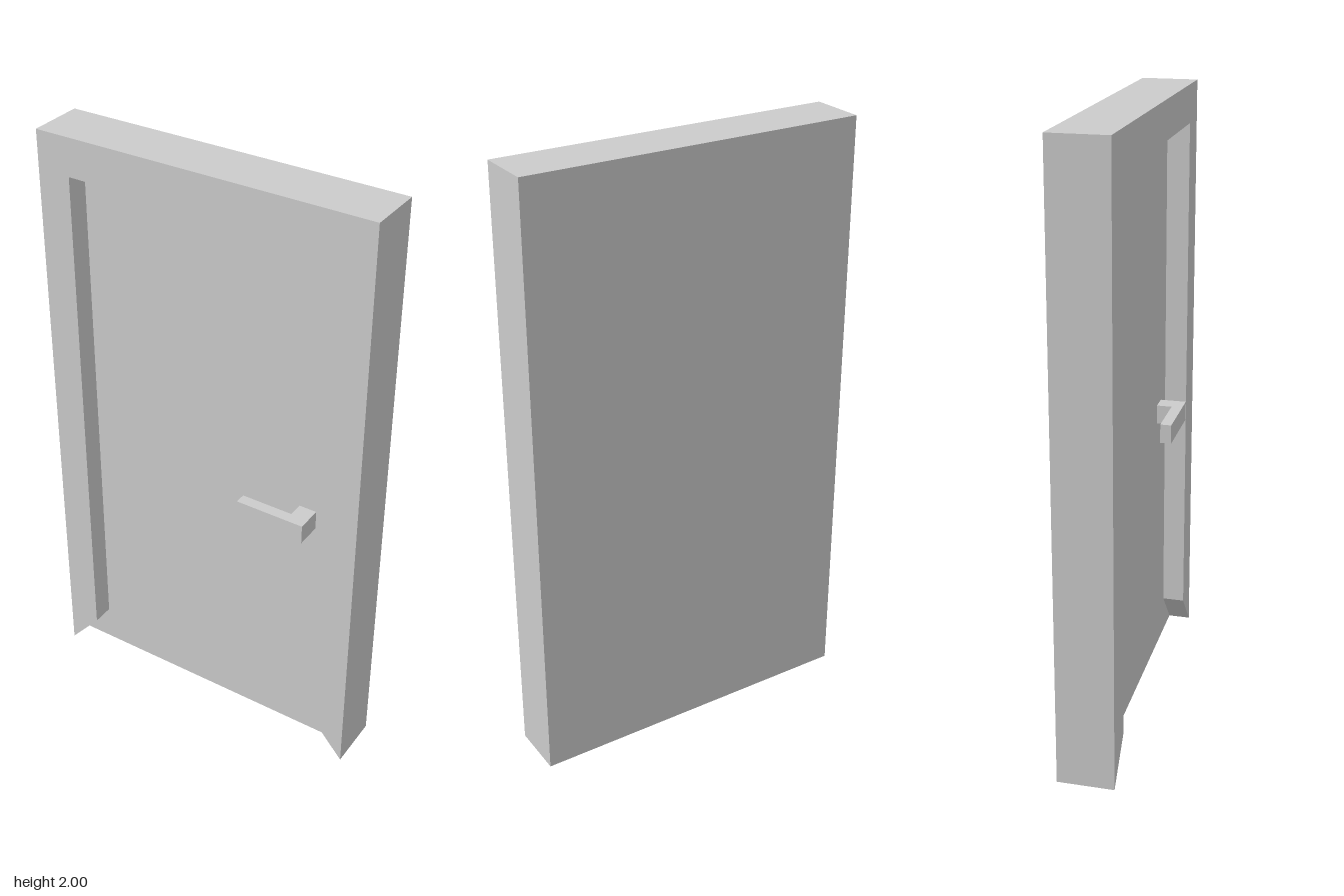
import * as THREE from 'three';

const material = new THREE.MeshStandardMaterial({ color: 0xcccccc, flatShading: true });

// Extrude a closed outline of [x, y] points by a depth
function extrude(name, points, depth) {
  const shape = new THREE.Shape(points.map(([x, y]) => new THREE.Vector2(x, y)));
  const geometry = new THREE.ExtrudeGeometry(shape, { depth, bevelEnabled: false });
  const mesh = new THREE.Mesh(geometry, material);
  mesh.name = name;
  return mesh;
}

export function createModel() {
  const group = new THREE.Group();
  group.name = 'door';

  const halfWidth = 0.565, height = 2;
  const back = -0.1, panelZ = 0.01, front = 0.085, handleFront = 0.098;

  // Door panel: full-size slab behind the frame
  const panel = new THREE.Mesh(
    new THREE.BoxGeometry(2 * halfWidth, height, panelZ - back), material);
  panel.name = 'doorPanel';
  panel.position.set(0, height / 2, (back + panelZ) / 2);
  group.add(panel);

  // Raised frame, its jambs flaring out to points at the floor
  const opening = 0.453, openingTop = 1.875, flareY = 0.13;
  const frame = extrude('doorFrame', [
    [halfWidth, 0], [halfWidth, height], [-halfWidth, height], [-halfWidth, 0],
    [-opening, flareY], [-opening, openingTop], [opening, openingTop], [opening, flareY],
  ], front - panelZ);
  frame.position.z = panelZ;
  group.add(frame);

  // L-shaped lever handle: outline in plan (x, depth), extruded vertically
  const reach = handleFront - panelZ, bar = 0.037;
  const handle = extrude('handle', [
    [0.15, -reach], [0.385, -reach], [0.385, 0],
    [0.325, 0], [0.325, bar - reach], [0.15, bar - reach],
  ], 0.065);
  handle.rotation.x = -Math.PI / 2;
  handle.position.set(0, 0.87, panelZ);
  group.add(handle);

  return group;
}
